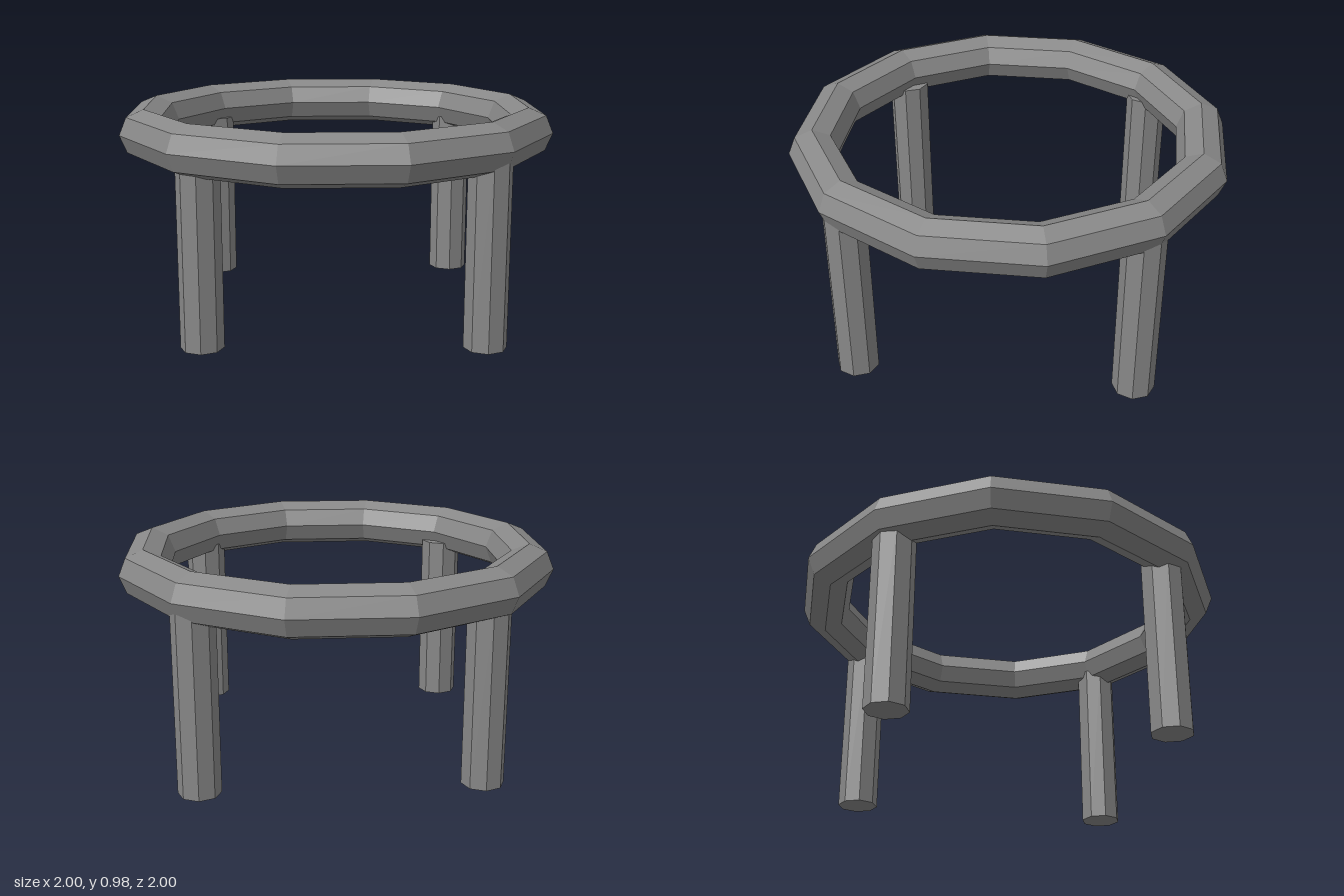
import * as THREE from 'three';

export function createModel() {
  const model = new THREE.Group();
  const material = new THREE.MeshStandardMaterial({ color: 0x888888, flatShading: true });

  // Twelve-segment ring with an octagonal section, laid flat
  const ring = new THREE.Mesh(new THREE.TorusGeometry(0.888, 0.112, 8, 12), material);
  ring.name = 'ring';
  ring.rotation.x = -Math.PI / 2;
  ring.position.y = 0.87;
  model.add(ring);

  // Four octagonal legs reaching into the underside of the ring
  const legHeight = 0.82;
  const legGeometry = new THREE.CylinderGeometry(0.095, 0.095, legHeight, 8);
  const legs = [
    ['frontLeg', 0, 0.838],
    ['backLeg', 0, -0.885],
    ['leftLeg', 0.885, 0],
    ['rightLeg', -0.86, 0],
  ];
  for (const [name, x, z] of legs) {
    const leg = new THREE.Mesh(legGeometry, material);
    leg.name = name;
    leg.position.set(x, legHeight / 2, z);
    model.add(leg);
  }

  return model;
}
